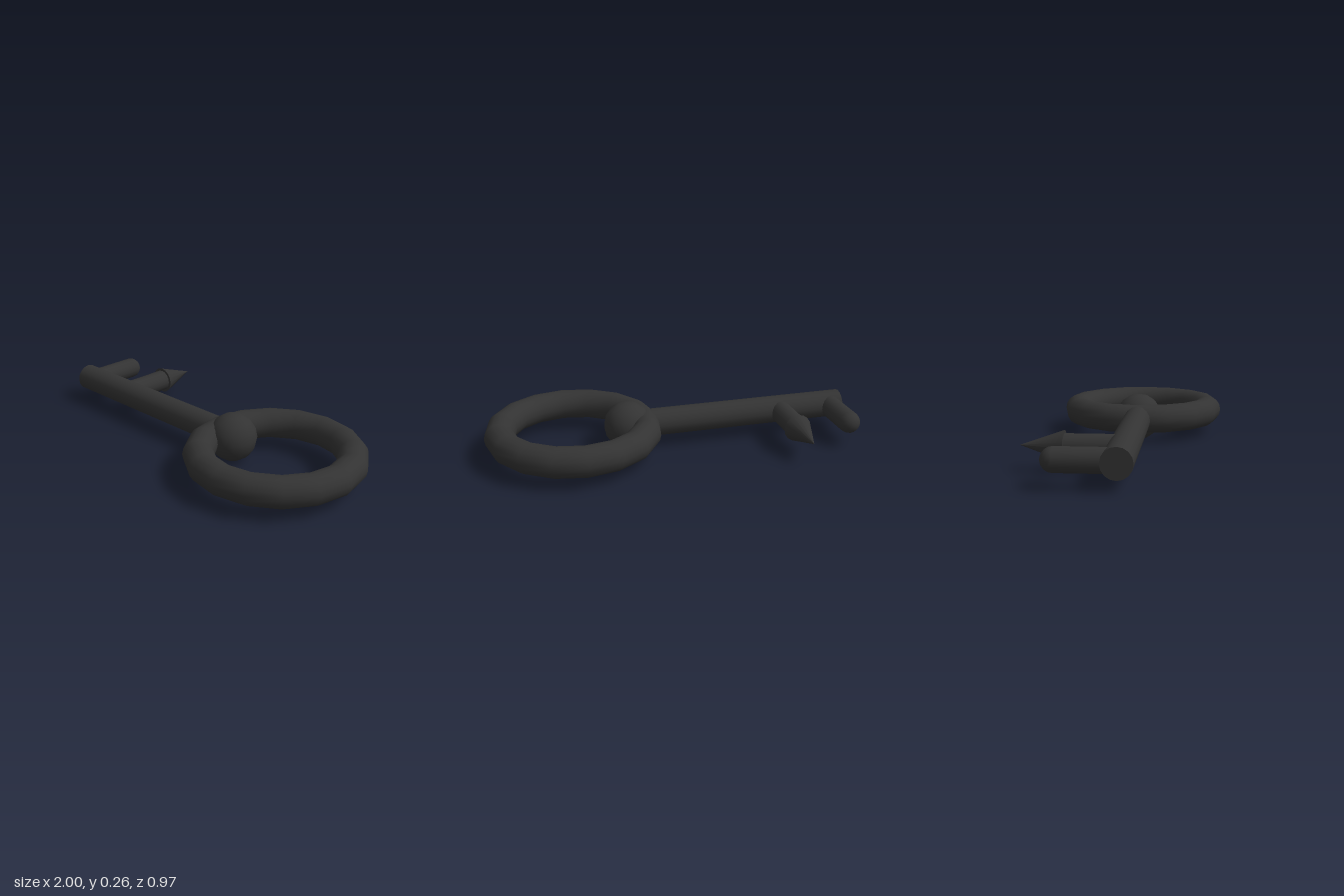
import * as THREE from 'three';

const Y = 0.132; // height of the key's centre plane
const Z = 0.015; // depth of the shaft's axis

export function createModel() {
  const key = new THREE.Group();
  key.name = 'key';
  const material = new THREE.MeshStandardMaterial({ color: 0x333333 });

  const add = (name, geometry, x, z, parent = key) => {
    const mesh = new THREE.Mesh(geometry, material);
    mesh.name = name;
    mesh.position.set(x, Y, z);
    parent.add(mesh);
    return mesh;
  };

  // Rod or cone running backwards from z = front to z = back
  const backward = (name, rBack, rFront, front, back, x, parent) => {
    const geometry = new THREE.CylinderGeometry(rBack, rFront, front - back, 16);
    geometry.rotateX(-Math.PI / 2);
    return add(name, geometry, x, (front + back) / 2, parent);
  };

  // Ring handle, lying flat
  add('ringHandle', new THREE.TorusGeometry(0.39, 0.08, 16, 16).rotateX(Math.PI / 2), 0.53, Z);

  // Ball joining the ring and the shaft
  add('ball', new THREE.SphereGeometry(0.13, 16, 8), 0.235, Z);

  // Long shaft along x
  add('shaft', new THREE.CylinderGeometry(0.075, 0.075, 1.2, 16).rotateZ(Math.PI / 2), -0.4, Z);

  // Round-ended tooth
  const roundTooth = new THREE.Group();
  roundTooth.name = 'roundTooth';
  key.add(roundTooth);
  backward('roundToothRod', 0.06, 0.06, Z, -0.27, -0.935, roundTooth);
  const cap = new THREE.SphereGeometry(0.06, 16, 6, 0, Math.PI * 2, 0, Math.PI / 2);
  add('roundToothCap', cap.rotateX(-Math.PI / 2), -0.935, -0.27, roundTooth);

  // Arrow-headed tooth
  const arrowTooth = new THREE.Group();
  arrowTooth.name = 'arrowTooth';
  key.add(arrowTooth);
  backward('arrowToothRod', 0.06, 0.06, Z, -0.28, -0.632, arrowTooth);
  backward('arrowToothHead', 0, 0.075, -0.27, -0.485, -0.632, arrowTooth);

  return key;
}
